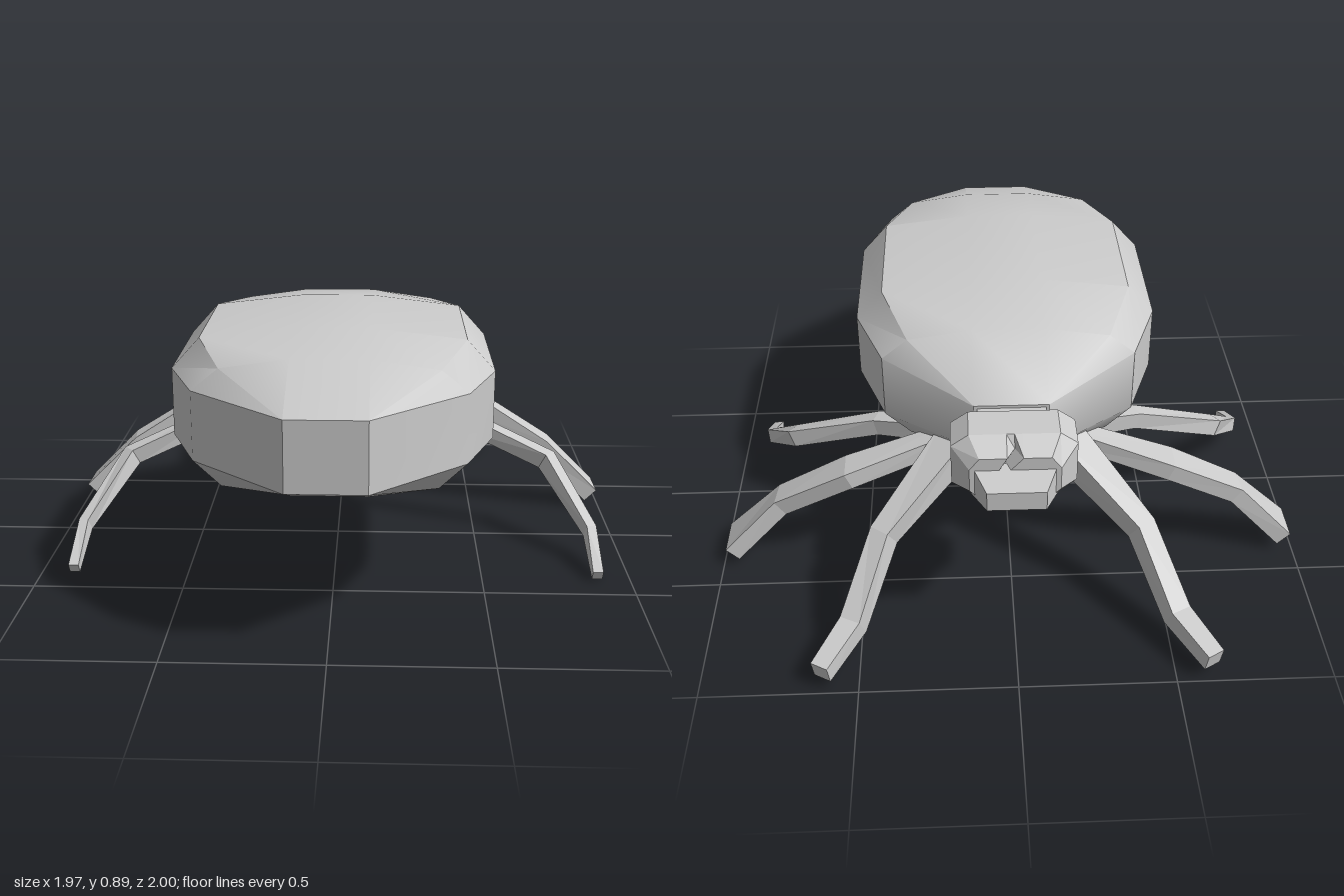
import * as THREE from 'three';
import { toCreasedNormals } from 'three/addons/utils/BufferGeometryUtils.js';

const material = new THREE.MeshStandardMaterial({ color: 0xcccccc, side: THREE.DoubleSide });

// Skin a list of closed rings (counterclockwise around the direction of travel) and cap both ends.
function loft(rings, crease) {
  const pos = [];
  const tri = (a, b, c) => {
    const area = b.clone().sub(a).cross(c.clone().sub(a)).length();
    if (area > 1e-7) for (const p of [a, b, c]) pos.push(p.x, p.y, p.z);
  };
  const n = rings[0].length;
  for (let i = 0; i < rings.length - 1; i++) {
    for (let j = 0; j < n; j++) {
      const k = (j + 1) % n, r = rings[i], s = rings[i + 1];
      tri(r[j], r[k], s[j]);
      tri(r[k], s[k], s[j]);
    }
  }
  const first = rings[0], last = rings[rings.length - 1];
  for (let j = 1; j < n - 1; j++) {
    tri(first[0], first[j + 1], first[j]);
    tri(last[0], last[j], last[j + 1]);
  }
  const g = new THREE.BufferGeometry();
  g.setAttribute('position', new THREE.Float32BufferAttribute(pos, 3));
  g.computeVertexNormals();
  return crease ? toCreasedNormals(g, crease) : g;
}

// Symmetric ring at depth z from its +x half, listed bottom to top; a point may override z.
function mirrorRing(z, half) {
  const right = half.map(([x, y, pz = z]) => new THREE.Vector3(x, y, pz));
  const left = right.map((p) => new THREE.Vector3(-p.x, p.y, p.z)).reverse();
  return [...right, ...left];
}

function part(name, geometry) {
  const mesh = new THREE.Mesh(geometry, material);
  mesh.name = name;
  return mesh;
}

// Rounded abdomen and thorax
function bodyGeometry() {
  const section = (z, w, shoulder, low, lowSide, sideLow, sideHigh, highSide, high) =>
    mirrorRing(z, [[0.12, low], [shoulder, lowSide], [w, sideLow],
      [w, sideHigh], [shoulder, highSide], [0.12, high]]);
  return loft([
    section(-0.47, 0.12, 0.12, 0.54, 0.54, 0.54, 0.71, 0.71, 0.71),
    section(-0.26, 0.415, 0.33, 0.43, 0.46, 0.54, 0.76, 0.83, 0.86),
    section(0, 0.51, 0.42, 0.43, 0.435, 0.54, 0.76, 0.86, 0.895),
    section(0.48, 0.51, 0.42, 0.43, 0.435, 0.54, 0.76, 0.86, 0.895),
    section(0.73, 0.415, 0.33, 0.43, 0.46, 0.54, 0.76, 0.83, 0.86),
    section(1, 0.12, 0.12, 0.54, 0.54, 0.54, 0.76, 0.76, 0.76),
  ], 0.6);
}

// Head with a small notch in the middle of the brow
function headGeometry() {
  const section = (z, flat, w, low, lowSide, highSide, high, notchZ = z) =>
    mirrorRing(z, [[flat, low], [w, lowSide], [w, highSide], [flat, high],
      [0.025, high], [0, high, notchZ]]);
  return loft([
    section(-0.73, 0.11, 0.14, 0.55, 0.58, 0.66, 0.7, -0.68),
    section(-0.66, 0.14, 0.195, 0.52, 0.56, 0.7, 0.74),
    section(-0.54, 0.14, 0.195, 0.52, 0.56, 0.7, 0.74),
    section(-0.5, 0.11, 0.12, 0.55, 0.57, 0.69, 0.71),
  ]);
}

function boxSection(z, w, low, high) {
  return mirrorRing(z, [[w, low], [w, high]]);
}

// Four-sided leg along joints [x, y, z, width, thickness]
function legGeometry(joints, side) {
  const pts = joints.map(([x, y, z]) => new THREE.Vector3(x * side, y, z));
  const up = new THREE.Vector3(0, 1, 0);
  const rings = pts.map((p, i) => {
    const a = pts[Math.max(i - 1, 0)], b = pts[Math.min(i + 1, pts.length - 1)];
    const t = b.clone().sub(a).normalize();
    const u = up.clone().cross(t).normalize();
    const v = t.clone().cross(u);
    const [, , , w, h] = joints[i];
    return [[-1, -1], [1, -1], [1, 1], [-1, 1]].map(([m, n]) =>
      p.clone().addScaledVector(u, m * w / 2).addScaledVector(v, n * h / 2));
  });
  return loft(rings);
}

const legs = {
  frontLeg: [[0.17, 0.5, -0.36, 0.12, 0.1], [0.42, 0.3, -0.6, 0.07, 0.08],
    [0.52, 0.11, -0.81, 0.07, 0.08], [0.615, 0.072, -0.975, 0.06, 0.065]],
  middleLeg: [[0.2, 0.49, -0.33, 0.07, 0.06], [0.54, 0.385, -0.375, 0.11, 0.06],
    [0.78, 0.24, -0.335, 0.1, 0.06], [0.965, 0.055, -0.335, 0.14, 0.06]],
  hindLeg: [[0.2, 0.45, -0.23, 0.08, 0.07], [0.45, 0.405, -0.13, 0.06, 0.06],
    [0.755, 0.285, -0.03, 0.055, 0.06], [0.885, 0.11, 0.21, 0.035, 0.05],
    [0.89, 0.02, 0.39, 0.035, 0.035]],
};

export function createModel() {
  const model = new THREE.Group();
  model.name = 'beetle';
  model.add(part('body', bodyGeometry()));
  model.add(part('neck', loft([boxSection(-0.52, 0.11, 0.56, 0.7), boxSection(-0.44, 0.11, 0.56, 0.7)])));
  model.add(part('head', headGeometry()));
  model.add(part('snout', loft([boxSection(-0.825, 0.09, 0.58, 0.645), boxSection(-0.7, 0.135, 0.545, 0.66)])));

  // Three mirrored pairs of legs
  for (const [name, joints] of Object.entries(legs)) {
    for (const side of [1, -1]) {
      const mesh = part(name + (side > 0 ? 'Left' : 'Right'), legGeometry(joints, side));
      model.add(mesh);
    }
  }
  return model;
}
